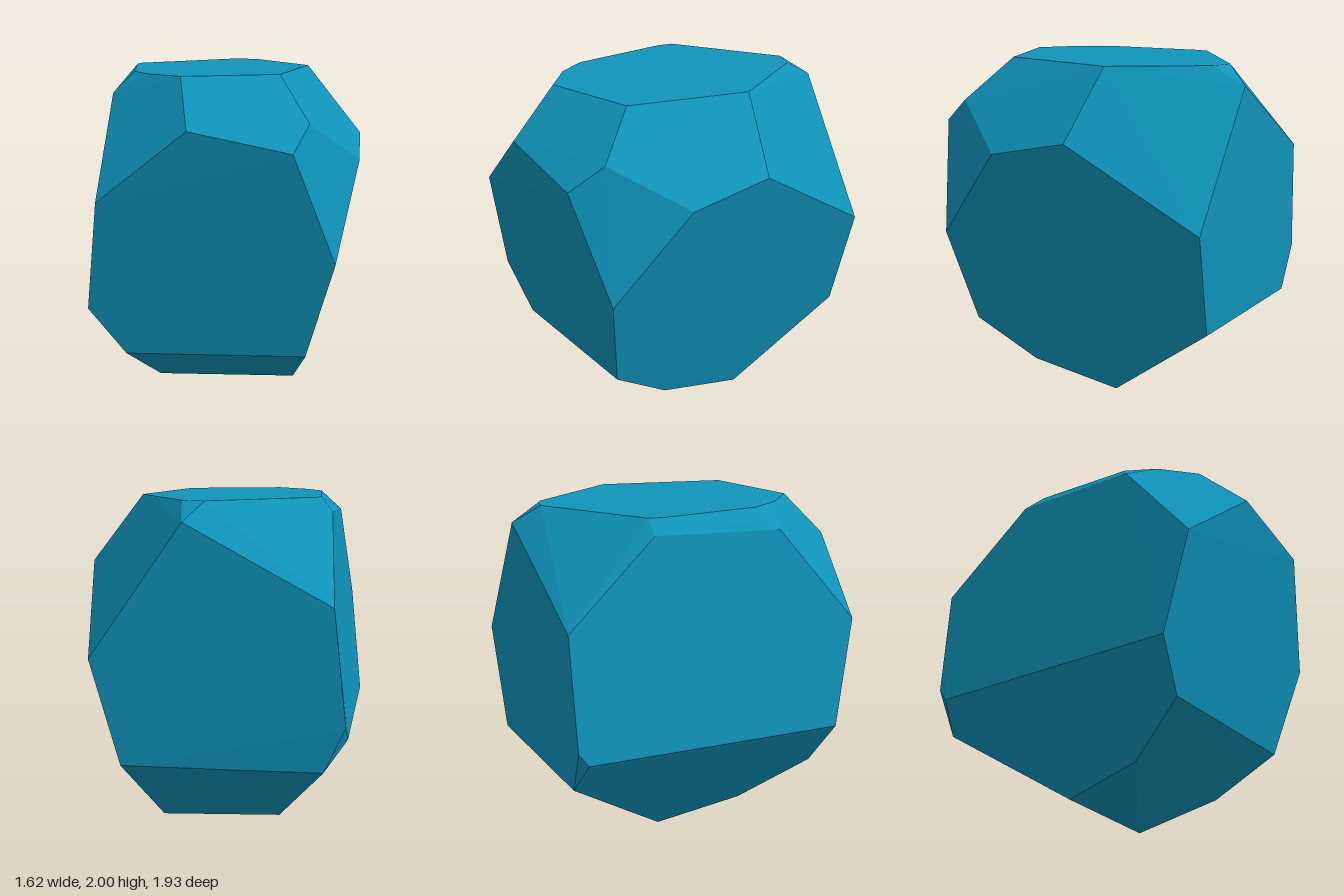
import * as THREE from 'three';
import { ConvexGeometry } from 'three/addons/geometries/ConvexGeometry.js';

// Corners of the faceted stone, grouped by height
const corners = [
  // flat top
  [0.48, 2, -0.23], [0.30, 2, 0.50], [-0.27, 2, 0.66], [-0.47, 2, 0.48], [-0.57, 2, 0.30],
  [-0.61, 2, -0.31], [-0.59, 2, -0.40], [0.01, 2, -0.82], [0.15, 2, -0.77],
  // shoulder
  [-0.22, 1.72, 0.965], [0.375, 1.59, 0.943], [0.47, 1.74, 0.75], [0.78, 1.48, 0.36],
  [0.81, 1.585, -0.145], [0.12, 1.89, -0.965], [-0.735, 1.42, -0.95],
  [-0.684, 1.915, -0.40], [-0.688, 1.88, 0.40],
  // sides
  [-0.745, 1.30, 0.884], [0.625, 0.93, 0.808], [0.67, 1.10, -0.94],
  [-0.805, 0.74, -0.93], [-0.815, 0.66, -0.87], [-0.815, 0.65, 0.75],
  // underside
  [0.46, 0.35, 0.69], [-0.60, 0.365, 0.693], [0.495, 0.475, -0.915], [-0.68, 0.47, -0.915],
  [0.393, 0.117, 0.305], [-0.43, 0.12, 0.287], [0.36, 0, -0.25], [-0.365, 0.016, -0.24],
];

export function createModel() {
  const stoneBlue = new THREE.MeshStandardMaterial({ color: 0x0f94bb });
  stoneBlue.name = 'stoneBlue';

  // One convex body with sharp, flat facets
  const stone = new THREE.Mesh(
    new ConvexGeometry(corners.map((c) => new THREE.Vector3(...c))),
    stoneBlue,
  );
  stone.name = 'stone';

  const model = new THREE.Group();
  model.name = 'facetedStone';
  model.add(stone);
  return model;
}
